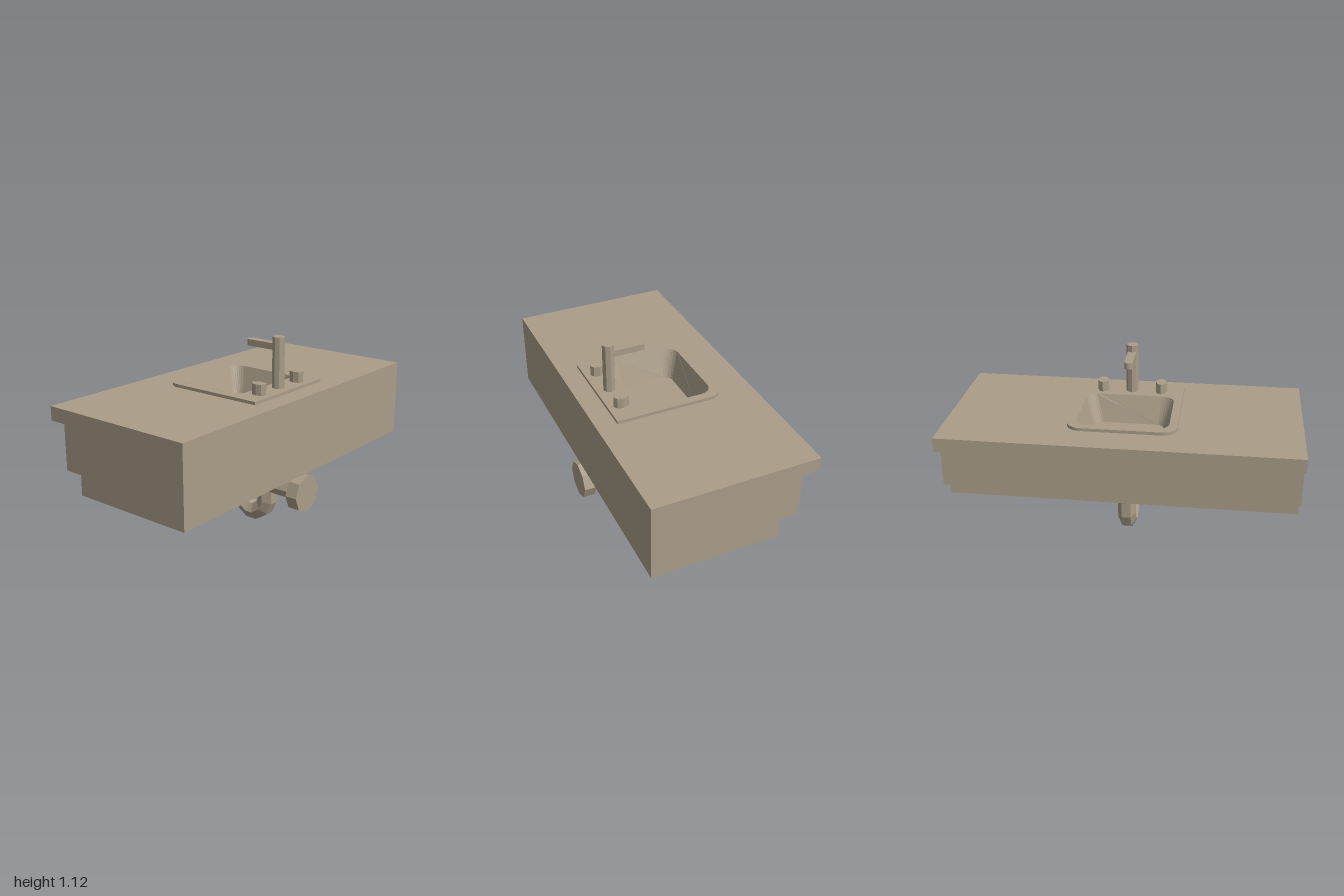
import * as THREE from 'three';

const stone = new THREE.MeshStandardMaterial({ color: 0xaa9d88 });
stone.name = 'warm stone';

// Faceted mesh: unshared vertices give each face its own normal
function part(name, geometry, x = 0, y = 0, z = 0) {
  const g = geometry.index ? geometry.toNonIndexed() : geometry;
  g.computeVertexNormals();
  const mesh = new THREE.Mesh(g, stone);
  mesh.name = name;
  mesh.position.set(x, y, z);
  return mesh;
}

// Plan outline (shape y = -z), with separate radii for back and front corners
function plan(hw, zBack, zFront, rBack, rFront) {
  const s = new THREE.Shape(), b = -zBack, f = -zFront;
  s.moveTo(hw, f + rFront);
  s.lineTo(hw, b - rBack);
  if (rBack) s.absarc(hw - rBack, b - rBack, rBack, 0, Math.PI / 2);
  s.lineTo(-hw + rBack, b);
  if (rBack) s.absarc(-hw + rBack, b - rBack, rBack, Math.PI / 2, Math.PI);
  s.lineTo(-hw, f + rFront);
  if (rFront) s.absarc(-hw + rFront, f + rFront, rFront, Math.PI, Math.PI * 1.5);
  s.lineTo(hw - rFront, f);
  if (rFront) s.absarc(hw - rFront, f + rFront, rFront, Math.PI * 1.5, Math.PI * 2);
  return s;
}

function slab(shape, depth, hole) {
  if (hole) shape.holes.push(hole);
  return new THREE.ExtrudeGeometry(shape, { depth, bevelEnabled: false, curveSegments: 4 })
    .rotateX(-Math.PI / 2);
}

function fromRings(rings, flip) {
  const n = rings[0].length, pos = [], idx = [];
  rings.forEach(r => r.forEach(p => pos.push(p.x, p.y, p.z)));
  for (let j = 0; j < rings.length - 1; j++) {
    for (let i = 0; i < n; i++) {
      const a = j * n + i, b = j * n + (i + 1) % n, c = a + n, d = b + n;
      idx.push(a, b, c, b, d, c);
    }
  }
  const g = new THREE.BufferGeometry();
  g.setAttribute('position', new THREE.Float32BufferAttribute(pos, 3));
  g.setIndex(idx);
  return g;
}

// Mitred six-sided pipe following [z, y] points
function pipe(points, r) {
  const v = points.map(([z, y]) => new THREE.Vector3(0, y, z));
  return fromRings(v.map((c, k) => {
    const before = c.clone().sub(v[Math.max(k - 1, 0)]).normalize();
    const after = v[Math.min(k + 1, v.length - 1)].clone().sub(c).normalize();
    const t = before.clone().add(after).normalize();
    const miter = 1 / Math.max(t.dot(before), t.dot(after));
    const ring = [];
    for (let i = 0; i < 6; i++) {
      const a = i * Math.PI / 3, s = r * Math.sin(a) * miter;
      ring.push(new THREE.Vector3(r * Math.cos(a), c.y + t.z * s, c.z - t.y * s));
    }
    return ring;
  }));
}

export function createModel() {
  const model = new THREE.Group();
  model.name = 'sinkCounter';

  // Stepped counter, hollowed where the basin sits
  const cutout = () => plan(0.27, -0.26, 0.205, 0.06, 0.06);
  model.add(
    part('countertop', slab(plan(1, -0.483, 0.465, 0, 0), 0.08, cutout()), 0, 0.735),
    part('cabinetUpper', slab(plan(1, -0.38, 0.465, 0, 0), 0.26, cutout()), 0, 0.475),
    part('cabinetLower', slab(plan(1, -0.27, 0.465, 0, 0), 0.115), 0, 0.36)
  );

  // Sink rim and tapered basin
  const opening = plan(0.26, -0.25, 0.195, 0.07, 0.07);
  const floor = plan(0.207, -0.2, 0.145, 0.05, 0.05);
  model.add(part('sinkRim', slab(plan(0.308, -0.293, 0.348, 0.08, 0), 0.02, opening), 0, 0.813));
  const ring = (shape, y) => {
    const pts = shape.getPoints(4).map(p => new THREE.Vector3(p.x, y, -p.y));
    if (pts[0].distanceTo(pts[pts.length - 1]) < 1e-5) pts.pop();
    return pts;
  };
  model.add(part('basinWalls', fromRings([ring(opening, 0.833), ring(floor, 0.67)])));
  model.add(part('basinFloor', new THREE.ShapeGeometry(floor, 4).rotateX(-Math.PI / 2), 0, 0.67));

  // Tap column, spout with rounded tip, and two oval handles
  model.add(part('tapColumn', new THREE.CylinderGeometry(0.035, 0.035, 0.295, 8), 0, 0.9775, 0.27));
  model.add(part('spout', slab(plan(0.025, 0.055, 0.27, 0.025, 0), 0.037), 0, 1.05));
  for (const side of [-1, 1]) {
    const handle = new THREE.CylinderGeometry(1, 1, 0.065, 8).scale(0.033, 1, 0.045);
    model.add(part(side > 0 ? 'leftHandle' : 'rightHandle', handle, side * 0.174, 0.8625, 0.27));
  }

  // Drain, trap pipe and wall flange
  model.add(part('drain', new THREE.CylinderGeometry(0.1, 0.085, 0.122, 8), 0, 0.301, 0.008));
  model.add(part('trapPipe', pipe([
    [0.008, 0.27], [0.008, 0.133], [0.028, 0.084], [0.08, 0.048], [0.125, 0.048],
    [0.181, 0.084], [0.201, 0.133], [0.201, 0.212], [0.212, 0.236], [0.236, 0.247], [0.44, 0.247]
  ], 0.055)));
  model.add(part('wallFlange',
    new THREE.CylinderGeometry(0.11, 0.11, 0.072, 8).rotateX(Math.PI / 2), 0, 0.247, 0.449));

  return model;
}
